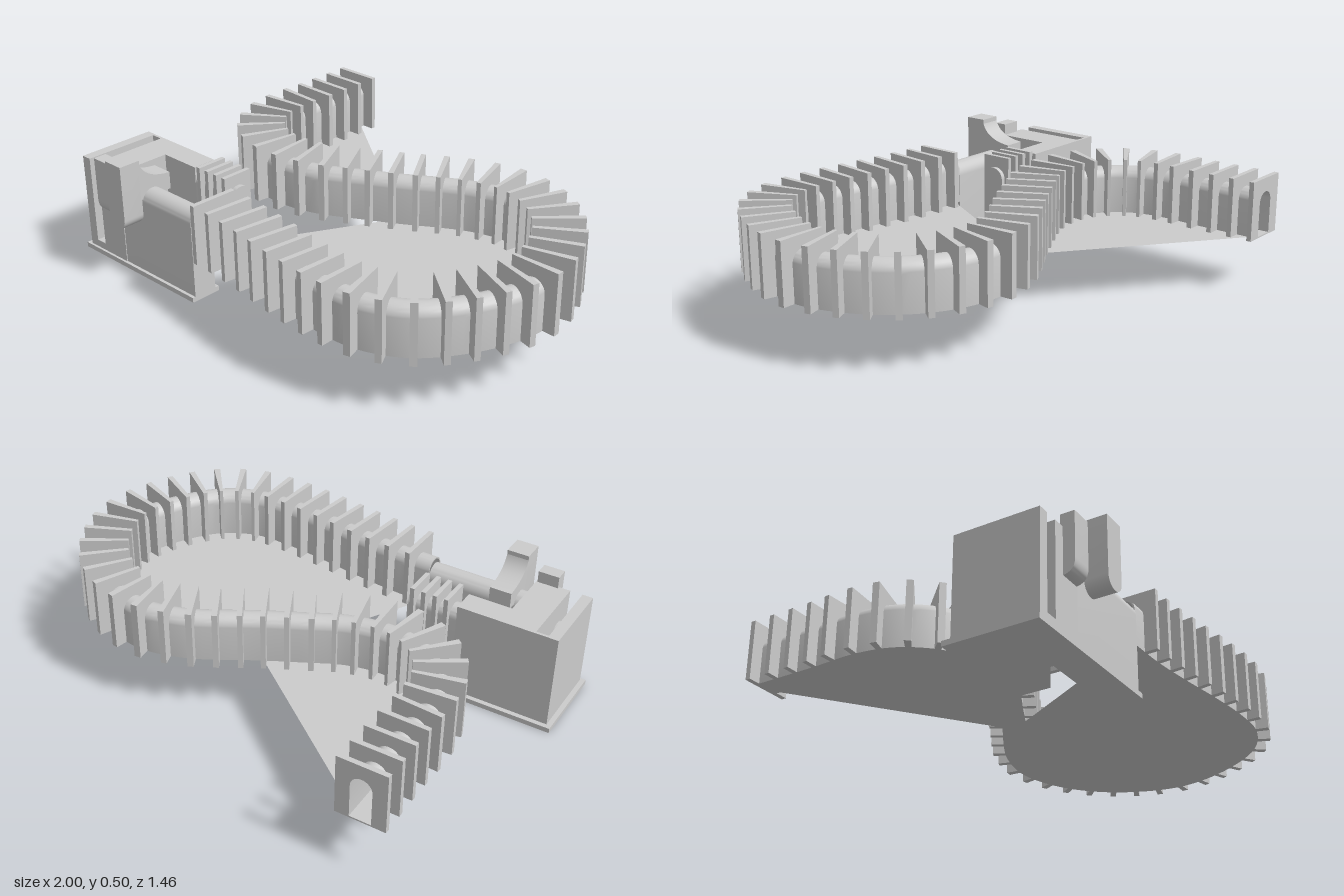
import * as THREE from 'three';
import { toCreasedNormals } from 'three/addons/utils/BufferGeometryUtils.js';

const material = new THREE.MeshStandardMaterial({ color: 0xcccccc, side: THREE.DoubleSide });

export function createModel() {
  const model = new THREE.Group();

  const add = (name, geometry) => {
    const mesh = new THREE.Mesh(toCreasedNormals(geometry, 0.6), material);
    mesh.name = name;
    model.add(mesh);
    return mesh;
  };
  const box = (name, x0, x1, y0, y1, z0, z1) => {
    const g = new THREE.BoxGeometry(x1 - x0, y1 - y0, z1 - z0);
    return add(name, g.translate((x0 + x1) / 2, (y0 + y1) / 2, (z0 + z1) / 2));
  };
  const polygon = (points) => new THREE.Shape(points.map(([x, y]) => new THREE.Vector2(x, y)));
  const extrude = (shape, depth, steps = 1) =>
    new THREE.ExtrudeGeometry(shape, { depth, steps, bevelEnabled: false, curveSegments: 10 });
  // extrude a (z, y) profile along x
  const alongX = (shape, x0, x1) => extrude(shape, x1 - x0).rotateY(-Math.PI / 2).translate(x1, 0, 0);
  // extrude an (x, z) plan upward
  const upward = (points, y0, y1) =>
    extrude(polygon(points.map(([x, z]) => [x, -z])), y1 - y0).rotateX(-Math.PI / 2).translate(0, y0, 0);
  // upright profile with a half-round top
  const arch = (centre, half, y0, y1, Type = THREE.Shape) => {
    const s = new Type();
    s.moveTo(centre - half, y0);
    s.lineTo(centre + half, y0);
    s.lineTo(centre + half, y1 - half);
    s.absarc(centre, y1 - half, half, 0, Math.PI, false);
    s.closePath();
    return s;
  };

  // Path of the long hose, in (x, z)
  const path = new THREE.CatmullRomCurve3([
    [-0.335, 0.555], [-0.18, 0.56], [0, 0.58], [0.2, 0.61], [0.4, 0.63], [0.55, 0.622], [0.7, 0.55],
    [0.82, 0.4], [0.89, 0.23], [0.9, 0.12], [0.87, 0], [0.8, -0.13], [0.7, -0.23], [0.58, -0.293],
    [0.45, -0.315], [0.3, -0.28], [0.2, -0.23], [0.05, -0.14], [-0.1, -0.06], [-0.25, 0.015], [-0.4, 0.045],
    [-0.52, 0.03], [-0.63, -0.03], [-0.715, -0.14], [-0.745, -0.28], [-0.74, -0.45], [-0.74, -0.735],
  ].map(([x, z]) => new THREE.Vector3(x, 0, z)));
  path.arcLengthDivisions = 800;
  const length = path.getLength();

  // Bend a geometry running along z onto the path
  const bend = (geometry) => {
    const pos = geometry.attributes.position;
    for (let i = 0; i < pos.count; i++) {
      const u = THREE.MathUtils.clamp(pos.getZ(i) / length, 0, 1);
      const p = path.getPointAt(u);
      const t = path.getTangentAt(u);
      const side = pos.getX(i);
      pos.setXYZ(i, p.x + t.z * side, pos.getY(i), p.z - t.x * side);
    }
    return geometry;
  };

  // Long hose: hollow arched duct with rectangular ribs
  const floor = 0.21;
  const duct = arch(0, 0.048, floor, 0.4);
  duct.holes.push(arch(0, 0.042, floor + 0.006, 0.394, THREE.Path));
  add('hose', bend(extrude(duct, length, 160)));

  const rib = polygon([[-0.098, floor], [0.098, floor], [0.098, 0.45], [-0.098, 0.45]]);
  rib.holes.push(arch(0, 0.043, floor + 0.006, 0.395, THREE.Path));
  const thickness = 0.02;
  const first = 0.065;
  const last = length - thickness;
  const count = Math.round((last - first) / 0.09);
  for (let i = 0; i <= count; i++) {
    const start = first + ((last - first) * i) / count;
    add('hoseRib', bend(extrude(rib, thickness).translate(0, 0, start)));
  }

  // Flat sheets spanning the two bends, split where the hose crosses between them
  const samples = path.getSpacedPoints(160);
  let split = 0;
  samples.forEach((p, i) => {
    if (p.distanceTo(new THREE.Vector3(0.06, 0, -0.145)) < samples[split].distanceTo(new THREE.Vector3(0.06, 0, -0.145))) split = i;
  });
  for (const part of [samples.slice(0, split + 1), samples.slice(split)]) {
    const sheet = new THREE.ShapeGeometry(polygon(part.map((p) => [p.x, -p.z])));
    add('floorSheet', sheet.rotateX(-Math.PI / 2).translate(0, floor, 0));
  }

  // Base plate and housing
  add('basePlate', upward([[-1, 0.62], [-0.335, 0.62], [-0.335, 0.49], [-0.72, 0.49], [-0.57, 0.4],
    [-0.57, 0.26], [-1, 0.26]], 0, 0.02));
  box('housingOuterWall', -0.98, -0.937, 0.02, 0.412, 0.28, 0.61);
  add('housing', upward([[-0.887, 0.61], [-0.75, 0.61], [-0.75, 0.38], [-0.57, 0.38], [-0.57, 0.28],
    [-0.887, 0.28]], 0.02, 0.412));
  box('slotBackWall', -0.937, -0.887, 0.02, 0.412, 0.28, 0.292);
  box('slotFloor', -0.937, -0.887, 0.02, 0.05, 0.292, 0.61);
  add('slotRoller', alongX(arch(0.515, 0.05, 0.05, 0.32), -0.937, -0.887));

  // Arched outlet leading into the long hose
  add('outlet', alongX(arch(0.557, 0.05, 0.02, 0.375), -0.75, -0.335));

  // Short ribbed hose
  add('shortHose', alongX(arch(0.335, 0.045, 0.2, 0.385), -0.57, -0.355));
  for (let i = 0; i < 4; i++) {
    const x = -0.535 + i * 0.048;
    box('shortHoseRib', x, x + 0.018, 0.165, 0.432, 0.27, 0.4);
  }

  // Front stop with a rounded lower edge
  const stop = new THREE.Shape();
  stop.moveTo(0.6, 0.23);
  stop.quadraticCurveTo(0.655, 0.23, 0.655, 0.285);
  stop.lineTo(0.655, 0.46);
  stop.lineTo(0.6, 0.46);
  add('frontStop', alongX(stop, -0.84, -0.755));

  // Lever: front grip with a rounded lower end, and a curved arm over the outlet
  const grip = new THREE.Shape();
  grip.moveTo(-0.705, 0.505);
  grip.lineTo(-0.705, 0.28);
  grip.absarc(-0.66, 0.28, 0.045, Math.PI, Math.PI * 2, false);
  grip.lineTo(-0.615, 0.505);
  add('leverGrip', extrude(grip, 0.09).translate(0, 0, 0.61));
  const arm = new THREE.Shape();
  arm.moveTo(0.47, 0.34);
  arm.lineTo(0.615, 0.34);
  arm.lineTo(0.615, 0.505);
  arm.quadraticCurveTo(0.6, 0.42, 0.47, 0.41);
  add('leverArm', alongX(arm, -0.705, -0.615));

  return model;
}
